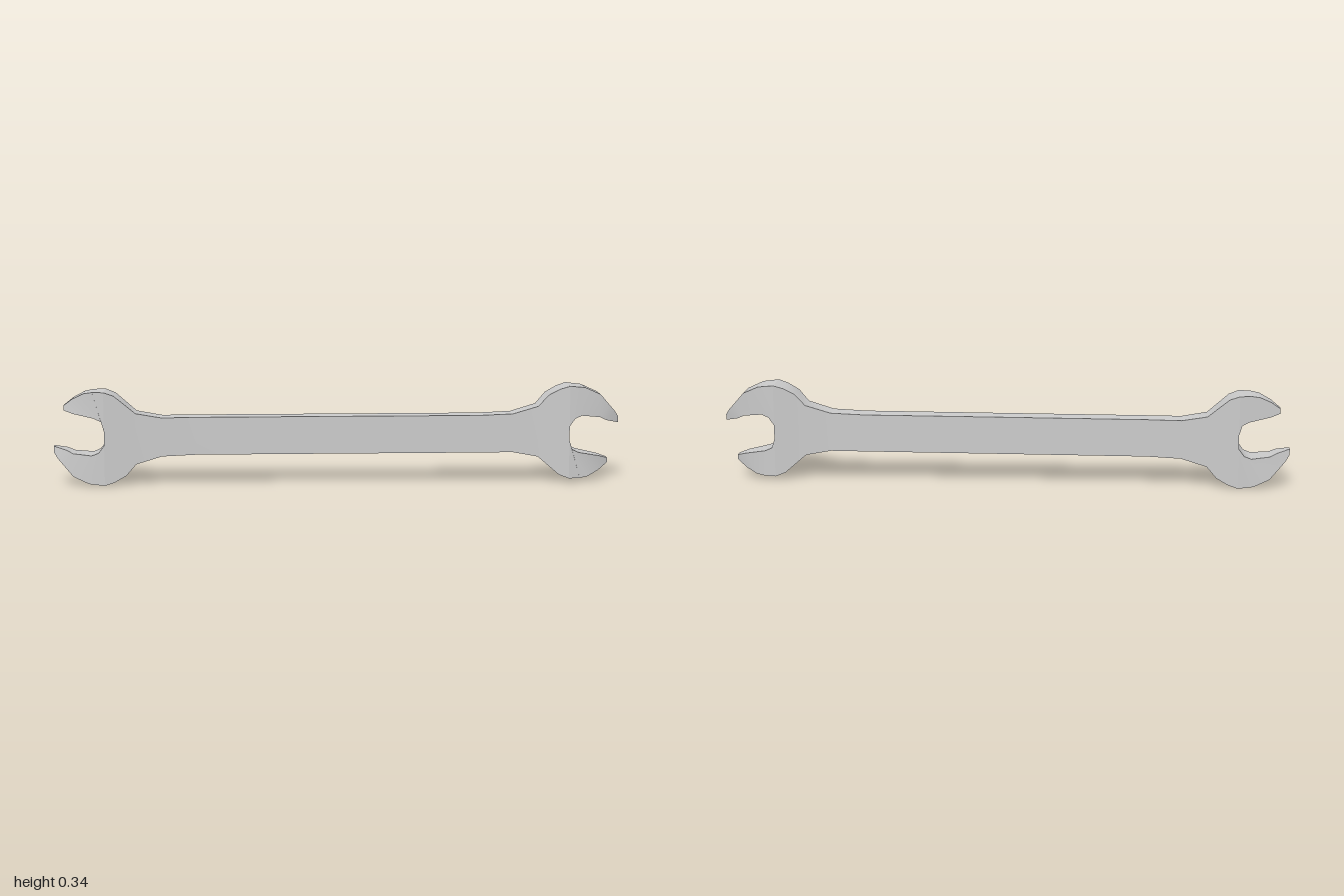
import * as THREE from 'three';
import { toCreasedNormals } from 'three/addons/utils/BufferGeometryUtils.js';

const MID_Y = 0.1715;

// Half thickness: thin shank, thickest across the throat, tapering to the jaw tips
const THICKNESS = [[0, 0.034], [0.55, 0.035], [0.71, 0.041], [0.82, 0.057],
  [0.9, 0.046], [0.935, 0.04], [0.97, 0.028], [1, 0.012]];

function halfThickness(x, y) {
  // The taper follows the tilted axis of the jaws
  const tilt = THREE.MathUtils.clamp((x - 0.82) / 0.1, 0, 1) * 0.25;
  const u = THREE.MathUtils.clamp(x - tilt * (y - 0.2), 0, 1);
  for (let i = 1; i < THICKNESS.length; i++) {
    const [u0, t0] = THICKNESS[i - 1], [u1, t1] = THICKNESS[i];
    if (u <= u1) return THREE.MathUtils.mapLinear(u, u0, u1, t0, t1);
  }
  return 0.012;
}

// Skin a row of four-cornered sections, each given as [topX, topY, bottomX, bottomY]
function loft(name, sections, material) {
  const rings = sections.map(([tx, ty, bx, by]) => {
    const t = halfThickness(tx, ty), b = halfThickness(bx, by);
    return [[tx, ty, t], [bx, by, b], [bx, by, -b], [tx, ty, -t]];
  });
  const positions = [];
  const quad = (a, b, c, d) => positions.push(...a, ...b, ...c, ...a, ...c, ...d);
  for (let i = 1; i < rings.length; i++) {
    const A = rings[i - 1], B = rings[i];
    for (let k = 0; k < 4; k++) {
      const n = (k + 1) % 4;
      quad(A[k], A[n], B[n], B[k]);
    }
  }
  quad(...rings[rings.length - 1]);
  const geometry = new THREE.BufferGeometry();
  geometry.setAttribute('position', new THREE.Float32BufferAttribute(positions, 3));
  const mesh = new THREE.Mesh(toCreasedNormals(geometry, 0.6), material);
  mesh.name = name;
  return mesh;
}

// Half of the shank, flaring into the head as far as the throat
const SHANK = [[0, 0.238, 0.105], [0.5, 0.238, 0.105], [0.62, 0.243, 0.106],
  [0.71, 0.27, 0.09], [0.745, 0.31, 0.06], [0.785, 0.332, 0.026], [0.82, 0.343, 0.013]]
  .map(([x, top, bottom]) => [x, top, x, bottom]);

const LONG_JAW = [[0.82, 0.343, 0.82, 0.2], [0.875, 0.337, 0.84, 0.227],
  [0.93, 0.312, 0.865, 0.237], [0.965, 0.272, 0.93, 0.23],
  [0.985, 0.25, 0.955, 0.218], [1, 0.228, 1, 0.207]];

const SHORT_JAW = [[0.82, 0.15, 0.82, 0.013], [0.83, 0.117, 0.86, 0.013],
  [0.855, 0.105, 0.89, 0.018], [0.93, 0.09, 0.93, 0.038], [0.963, 0.08, 0.963, 0.063]];

export function createModel() {
  const material = new THREE.MeshStandardMaterial({ color: 0xcccccc });
  const wrench = new THREE.Group();
  wrench.name = 'openEndWrench';

  // Both ends are the same, turned half a revolution about the middle
  for (const [side, angle] of [['left', 0], ['right', Math.PI]]) {
    const half = new THREE.Group();
    half.name = side + 'Half';
    half.add(
      loft('shank', SHANK, material),
      loft('longJaw', LONG_JAW, material),
      loft('shortJaw', SHORT_JAW, material));
    for (const part of half.children) part.position.y = -MID_Y;
    half.rotation.z = angle;
    half.position.y = MID_Y;
    wrench.add(half);
  }
  return wrench;
}
